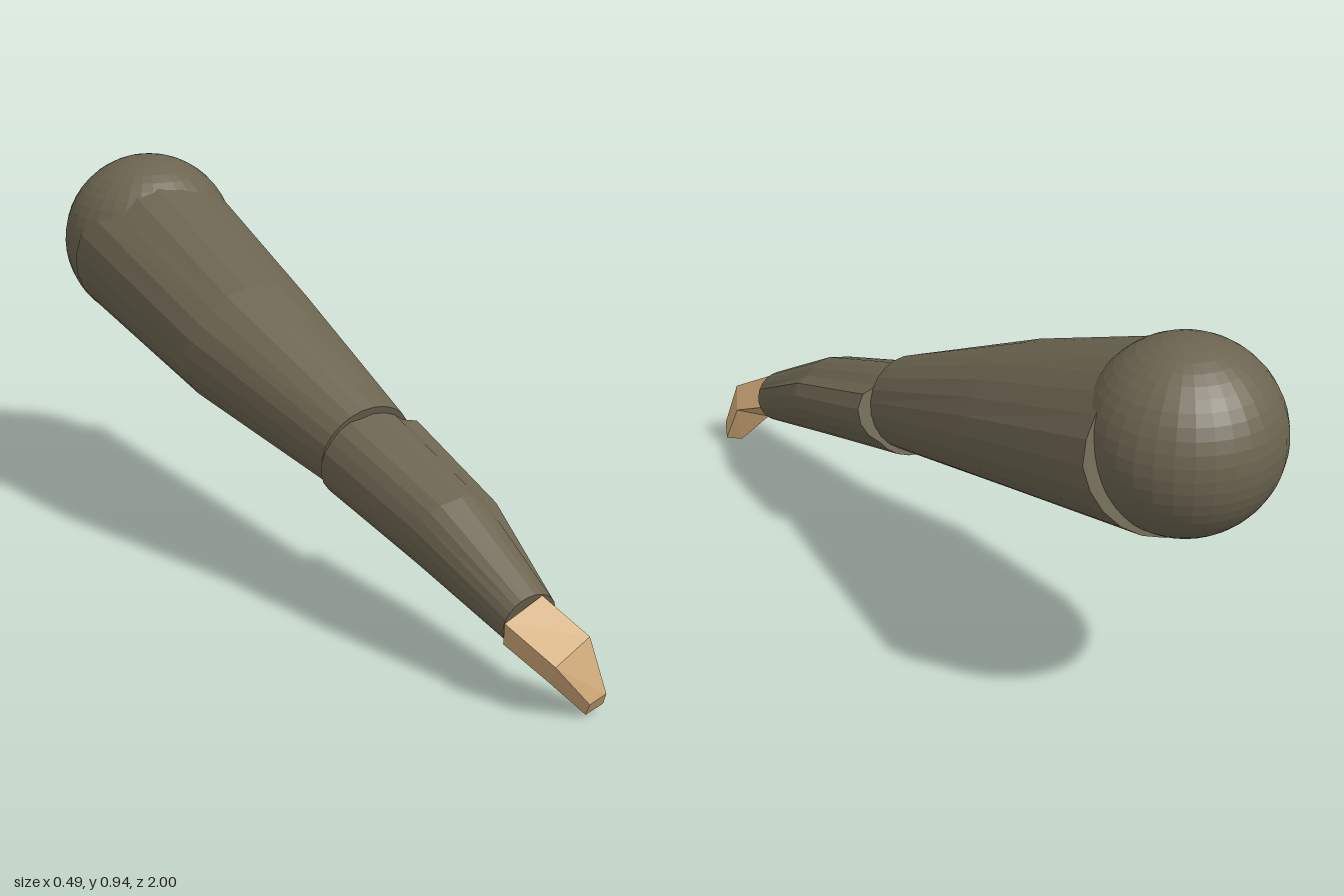
import * as THREE from 'three';

const sleeve = new THREE.MeshStandardMaterial({ color: 0x6b6450, flatShading: true });
const skin = new THREE.MeshStandardMaterial({ color: 0xd2ab78, flatShading: true });

// Closed loft through rings of points, running back to front, each counter-clockwise seen from +z
function loft(rings) {
  const n = rings[0].length;
  const points = rings.flat();
  const index = [];
  for (let i = 0; i < rings.length - 1; i++) {
    for (let j = 0; j < n; j++) {
      const a = i * n + j, b = i * n + (j + 1) % n;
      index.push(a, b, a + n, b, b + n, a + n);
    }
  }
  const last = (rings.length - 1) * n;
  for (const [start, front] of [[0, false], [last, true]]) {
    const ring = rings[start / n];
    const centre = ring.reduce((s, p) => s.add(p), new THREE.Vector3()).divideScalar(n);
    const c = points.push(centre) - 1;
    for (let j = 0; j < n; j++) {
      const a = start + j, b = start + (j + 1) % n;
      index.push(c, front ? a : b, front ? b : a);
    }
  }
  const geometry = new THREE.BufferGeometry().setFromPoints(points);
  geometry.setIndex(index);
  geometry.computeVertexNormals();
  return geometry;
}

// Tilted oval ring: centre x, half width, bottom and top as [z, y], and how strongly the folds show
function sleeveRing({ x, w, bottom, top, fold }, folds) {
  const n = 24, ring = [];
  const cz = (bottom[0] + top[0]) / 2, cy = (bottom[1] + top[1]) / 2;
  const hz = (top[0] - bottom[0]) / 2, hy = (top[1] - bottom[1]) / 2;
  for (let j = 0; j < n; j++) {
    const a = j / n * Math.PI * 2;
    const r = 1 + ((folds[j * 15] ?? 1) - 1) * fold;
    const c = Math.cos(a) * r, s = Math.sin(a) * r;
    ring.push(new THREE.Vector3(x + w * c, cy + hy * s, cz + hz * s));
  }
  return ring;
}

export function createModel() {
  const arm = new THREE.Group();
  arm.name = 'arm';
  const add = (name, geometry, material) => {
    const mesh = new THREE.Mesh(geometry, material);
    mesh.name = name;
    arm.add(mesh);
    return mesh;
  };

  // Shoulder ball
  add('shoulder', new THREE.SphereGeometry(0.225, 32, 24), sleeve).position.set(-0.015, 0.718, -0.775);

  // Upper arm; folds are radius factors by angle in degrees
  const upperFolds = { 15: 0.95, 30: 0.9, 45: 0.9, 60: 0.9, 75: 0.92, 90: 0.96, 135: 0.97 };
  add('upperArm', loft([
    { x: 0, w: 0.243, bottom: [-0.82, 0.5], top: [-0.69, 0.915], fold: 1 },
    { x: 0.004, w: 0.2, bottom: [-0.3, 0.385], top: [-0.2, 0.722], fold: 0.5 },
    { x: 0.043, w: 0.122, bottom: [0.18, 0.29], top: [0.25, 0.52], fold: 0 },
  ].map(r => sleeveRing(r, upperFolds))), sleeve);

  // Forearm with a raised seam on the outer side
  const foreFolds = { 345: 1.12, 0: 1.22, 15: 1.27, 30: 1.22, 105: 0.97, 120: 1.03, 135: 1.03 };
  add('forearm', loft([
    { x: 0.045, w: 0.125, bottom: [0.18, 0.275], top: [0.245, 0.502], fold: 1 },
    { x: 0.066, w: 0.106, bottom: [0.5, 0.2], top: [0.58, 0.395], fold: 0.85 },
    { x: 0.08, w: 0.07, bottom: [0.81, 0.12], top: [0.845, 0.25], fold: 0 },
  ].map(r => sleeveRing(r, foreFolds))), sleeve);

  // Hand: wrist, knuckles and fingertips, corners upper left, upper right, lower right, lower left
  const hand = [
    [[0.1, 0.245, 0.845], [0, 0.2, 0.845], [0.02, 0.135, 0.815], [0.13, 0.17, 0.815]],
    [[0.145, 0.18, 0.96], [0.045, 0.135, 0.972], [0.065, 0.075, 0.93], [0.166, 0.125, 0.925]],
    [[0.165, 0.055, 1], [0.12, 0.04, 1], [0.13, 0.003, 0.975], [0.175, 0.02, 0.978]],
  ];
  add('hand', loft(hand.map(ring => ring.map(p => new THREE.Vector3(...p)))), skin);

  return arm;
}
